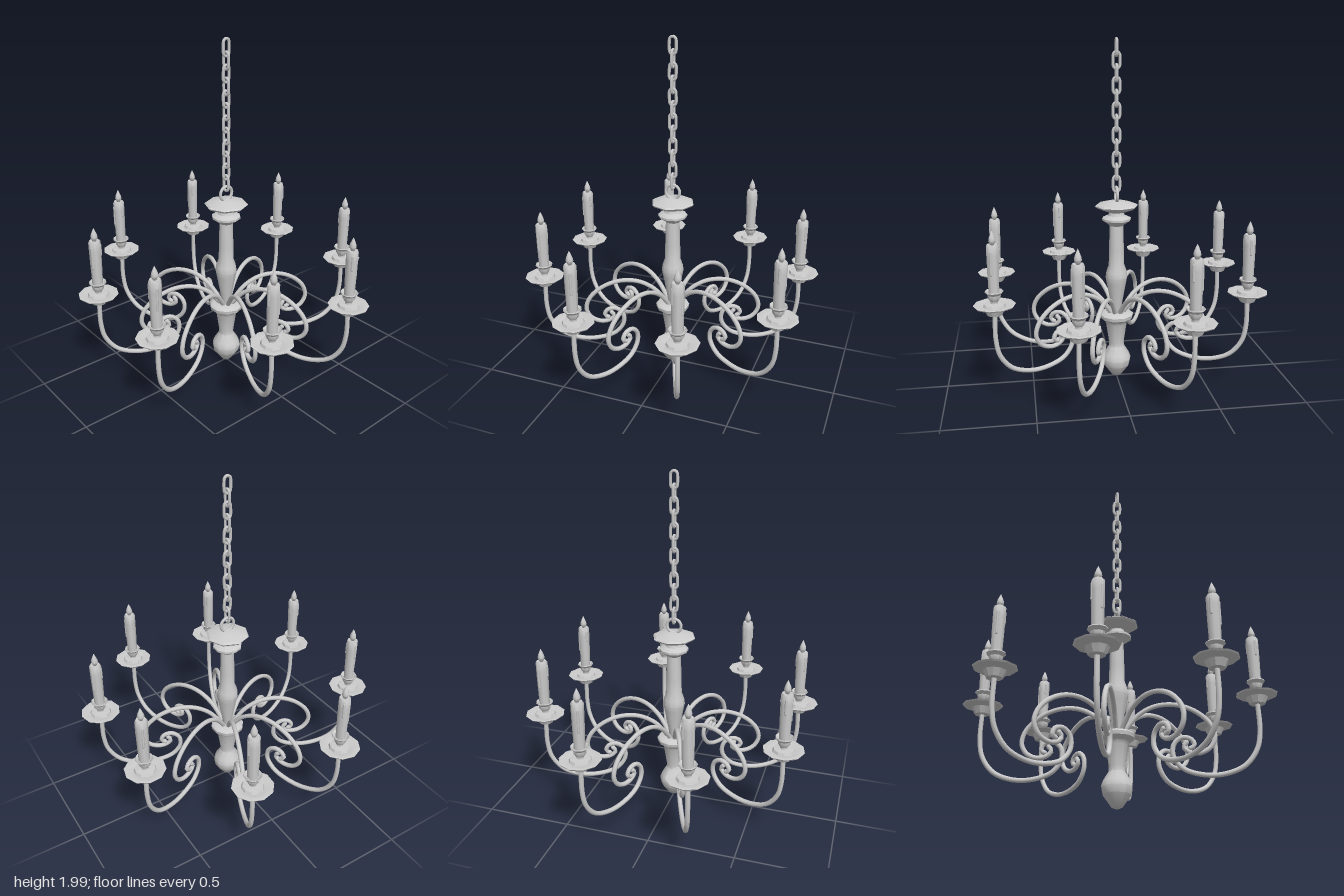
import * as THREE from 'three';
import { toCreasedNormals } from 'three/addons/utils/BufferGeometryUtils.js';

const material = new THREE.MeshStandardMaterial({ color: 0xcccccc });
const v2 = (points) => points.map(([x, y]) => new THREE.Vector2(x, y));

function part(name, geometry) {
  const mesh = new THREE.Mesh(geometry, material);
  mesh.name = name;
  return mesh;
}

// Turned part from [radius, height] pairs, listed bottom to top
function turned(name, points, sides, crease = 0.7) {
  return part(name, toCreasedNormals(new THREE.LatheGeometry(v2(points), sides), crease));
}

// Round bar bent through [radius, height] points in the plane of an arm
function bar(name, points, segments, radius = 0.0135) {
  const curve = new THREE.CatmullRomCurve3(points.map(([x, y]) => new THREE.Vector3(x, y, 0)));
  const group = new THREE.Group();
  group.name = name;
  group.add(part(name + 'Rod', new THREE.TubeGeometry(curve, segments, radius, 8)));
  // Rounded tips close the rod
  for (const t of [0, 1]) {
    const tip = part(name + 'Tip', new THREE.SphereGeometry(radius, 8, 6));
    tip.position.copy(curve.getPoint(t));
    group.add(tip);
  }
  return group;
}

function createCandle() {
  const candle = new THREE.Group();
  candle.name = 'candleHolder';
  // Drip dish with its socket
  candle.add(turned('dripDish', [
    [0, 0.548], [0.042, 0.55], [0.054, 0.575], [0.06, 0.587], [0.108, 0.598], [0.114, 0.606],
    [0.106, 0.608], [0.062, 0.598], [0.056, 0.612], [0.02, 0.615], [0.02, 0.635], [0, 0.635],
  ], 10, 0.5));
  // Flared cup around the candle foot
  candle.add(turned('candleCup', [
    [0, 0.624], [0.022, 0.626], [0.034, 0.645], [0.036, 0.662], [0.05, 0.678], [0.048, 0.684],
    [0.034, 0.672], [0, 0.668],
  ], 10, 0.5));
  candle.add(turned('waxCandle', [
    [0, 0.65], [0.03, 0.65], [0.031, 0.72], [0.033, 0.8], [0.034, 0.88], [0.034, 0.93],
    [0.029, 0.939], [0, 0.935],
  ], 8, 0.9));
  // Wax runs down the side
  [[0.4, 0.87, 0.08], [2.4, 0.84, 0.12], [4.5, 0.88, 0.06]].forEach(([a, y, length]) => {
    const run = part('waxRun', new THREE.CapsuleGeometry(0.008, length, 2, 6));
    run.position.set(Math.sin(a) * 0.029, y, Math.cos(a) * 0.029);
    candle.add(run);
  });
  candle.add(turned('flameBulb', [
    [0, 0.932], [0.01, 0.936], [0.02, 0.958], [0.017, 0.975], [0.008, 0.997], [0, 1.014],
  ], 8, 0.9));
  candle.position.x = 0.76;
  return candle;
}

function createArm() {
  const arm = new THREE.Group();
  arm.name = 'arm';
  // Upper scroll springing from the column
  arm.add(bar('upperScroll', [
    [0.02, 0.39], [0.06, 0.45], [0.12, 0.515], [0.21, 0.56], [0.32, 0.564], [0.43, 0.52],
    [0.505, 0.445], [0.523, 0.375], [0.495, 0.32], [0.44, 0.293], [0.385, 0.3],
    [0.356, 0.33], [0.372, 0.352],
  ], 56));
  // Lower scroll sweeping out to the candle
  arm.add(bar('lowerScroll', [
    [0.76, 0.565], [0.76, 0.4], [0.738, 0.305], [0.67, 0.22], [0.56, 0.178], [0.45, 0.178],
    [0.35, 0.213], [0.3, 0.28], [0.305, 0.345], [0.35, 0.38], [0.4, 0.367], [0.413, 0.333],
    [0.392, 0.32],
  ], 64));
  arm.add(createCandle());
  return arm;
}

function createLinkGeometry() {
  // Stadium-shaped loop
  const loop = new THREE.CurvePath();
  const r = 0.019, h = 0.027;
  const points = [];
  for (let i = 0; i < 16; i++) {
    const a = ((i + 0.5) / 16) * Math.PI * 2;
    points.push(new THREE.Vector3(Math.cos(a) * r, Math.sin(a) * r + Math.sign(Math.sin(a)) * h, 0));
  }
  const curve = new THREE.CatmullRomCurve3(points, true);
  return new THREE.TubeGeometry(curve, 28, 0.0085, 6, true);
}

export function createModel() {
  const model = new THREE.Group();
  model.name = 'chandelier';

  // Column from bottom finial to the collar above the vase
  model.add(turned('finial', [
    [0, 0.008], [0.03, 0.02], [0.078, 0.085], [0.086, 0.125], [0.076, 0.155], [0.045, 0.205],
    [0.045, 0.23], [0.062, 0.345], [0.07, 0.365], [0.098, 0.385], [0.101, 0.405],
    [0.085, 0.418], [0.03, 0.42], [0, 0.42],
  ], 10));
  model.add(turned('column', [
    [0, 0.4], [0.026, 0.41], [0.036, 0.48], [0.058, 0.6], [0.065, 0.635], [0.06, 0.67],
    [0.046, 0.71], [0.044, 0.8], [0.04, 0.945], [0.05, 0.955], [0.084, 0.978],
    [0.084, 0.99], [0.05, 1.005], [0.043, 1.02], [0.045, 1.035], [0, 1.04],
  ], 10));
  // Canopy plate
  model.add(turned('canopy', [
    [0, 1.025], [0.055, 1.027], [0.115, 1.05], [0.126, 1.062], [0.115, 1.07],
    [0.05, 1.088], [0, 1.092],
  ], 8, 0.3));

  // Hanging ring and chain
  const ring = part('hangingRing', new THREE.TorusGeometry(0.042, 0.009, 8, 20));
  ring.position.y = 1.127;
  model.add(ring);
  const chain = new THREE.Group();
  chain.name = 'chain';
  const linkGeometry = createLinkGeometry();
  for (let i = 0; i < 12; i++) {
    const link = part('chainLink', linkGeometry);
    link.position.y = 1.946 - i * 0.0688;
    link.rotation.y = i % 2 ? Math.PI / 2 : 0;
    link.rotation.z = i % 2 ? 0 : 0.04 * Math.sin(i * 2.1);
    chain.add(link);
  }
  model.add(chain);

  // Eight arms around the column
  for (let i = 0; i < 8; i++) {
    const arm = createArm();
    arm.rotation.y = ((i + 0.5) * Math.PI) / 4;
    model.add(arm);
  }
  return model;
}
